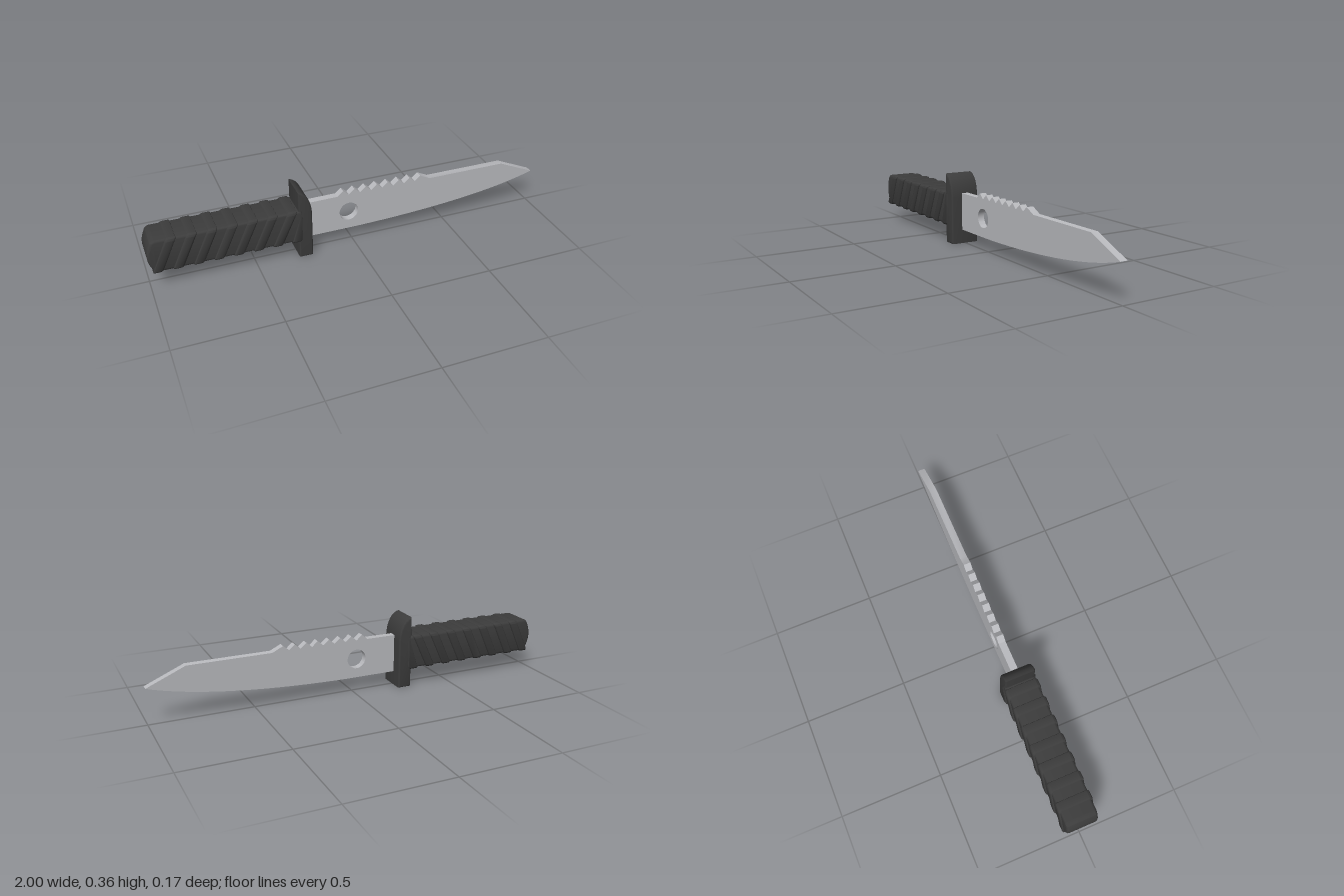
import * as THREE from 'three';
import { toCreasedNormals } from 'three/addons/utils/BufferGeometryUtils.js';

const steel = new THREE.MeshStandardMaterial({ color: 0xb9babe });
steel.name = 'steel grey';
const rubber = new THREE.MeshStandardMaterial({ color: 0x3c3c3c });
rubber.name = 'dark rubber';

const MID = 0.178; // height of the handle axis

// Centred extrusion whose bevel stays inside the outline
function slab(shape, depth, bevel) {
  const geo = new THREE.ExtrudeGeometry(shape, {
    depth: depth - 2 * bevel, bevelEnabled: bevel > 0, bevelThickness: bevel,
    bevelSize: bevel, bevelOffset: -bevel, bevelSegments: 3, curveSegments: 16,
  });
  geo.translate(0, 0, -depth / 2 + bevel);
  return geo;
}

function add(group, name, geo, material) {
  const mesh = new THREE.Mesh(toCreasedNormals(geo, 0.6), material);
  mesh.name = name;
  group.add(mesh);
}

function roundedRect(w, h, r) {
  const s = new THREE.Shape();
  s.absarc(w - r, h - r, r, 0, Math.PI / 2);
  s.absarc(r - w, h - r, r, Math.PI / 2, Math.PI);
  s.absarc(r - w, r - h, r, Math.PI, Math.PI * 1.5);
  s.absarc(w - r, r - h, r, Math.PI * 1.5, Math.PI * 2);
  s.closePath();
  return s;
}

// Blade outline: curved edge, clipped point, saw-toothed spine, round hole
function bladeShape() {
  const s = new THREE.Shape();
  s.moveTo(-0.26, 0.071);
  s.lineTo(0.02, 0.071);
  s.bezierCurveTo(0.42, 0.076, 0.78, 0.11, 1, 0.18);
  s.lineTo(0.815, 0.26);
  s.lineTo(0.41, 0.26);
  for (let i = 7; i >= 0; i--) {
    const x = -0.049 + i * 0.058;
    s.lineTo(x, 0.286);
    s.lineTo(x - 0.029, 0.261);
  }
  s.lineTo(-0.26, 0.26);
  s.closePath();
  const hole = new THREE.Path();
  hole.absarc(-0.02, 0.166, 0.048, 0, Math.PI * 2, true);
  s.holes.push(hole);
  return s;
}

// Guard with a top that sweeps down towards the blade
function guardShape() {
  const s = new THREE.Shape();
  s.moveTo(-0.292, 0);
  s.lineTo(-0.225, 0);
  s.lineTo(-0.225, 0.24);
  s.bezierCurveTo(-0.228, 0.3, -0.25, 0.35, -0.292, 0.358);
  s.closePath();
  return s;
}

// Grip core with a bulged butt end
function gripShape() {
  const s = new THREE.Shape();
  s.moveTo(-0.27, 0.096);
  s.lineTo(-0.27, 0.26);
  s.lineTo(-0.955, 0.262);
  s.quadraticCurveTo(-0.978, 0.262, -0.985, 0.24);
  s.quadraticCurveTo(-1.015, MID, -0.985, 0.116);
  s.quadraticCurveTo(-0.978, 0.094, -0.955, 0.094);
  s.closePath();
  return s;
}

// Ring round the grip, leaning forward at the top
function ridge(x) {
  const geo = slab(roundedRect(0.084, 0.0875, 0.016), 0.05, 0.011);
  geo.rotateY(Math.PI / 2);
  const p = geo.attributes.position;
  for (let i = 0; i < p.count; i++) {
    const px = x + p.getX(i) + p.getY(i) * 0.46;
    p.setXYZ(i, THREE.MathUtils.clamp(px, -0.982, -0.28), p.getY(i) + MID, p.getZ(i));
  }
  return geo;
}

export function createModel() {
  const knife = new THREE.Group();
  knife.name = 'knife';
  add(knife, 'blade', slab(bladeShape(), 0.035, 0), steel);
  add(knife, 'guard', slab(guardShape(), 0.15, 0.008), rubber);

  const handle = new THREE.Group();
  handle.name = 'handle';
  add(handle, 'gripCore', slab(gripShape(), 0.154, 0.012), rubber);
  for (let i = 0; i < 8; i++) add(handle, 'gripRidge', ridge(-0.925 + i * 0.094), rubber);
  knife.add(handle);
  return knife;
}
